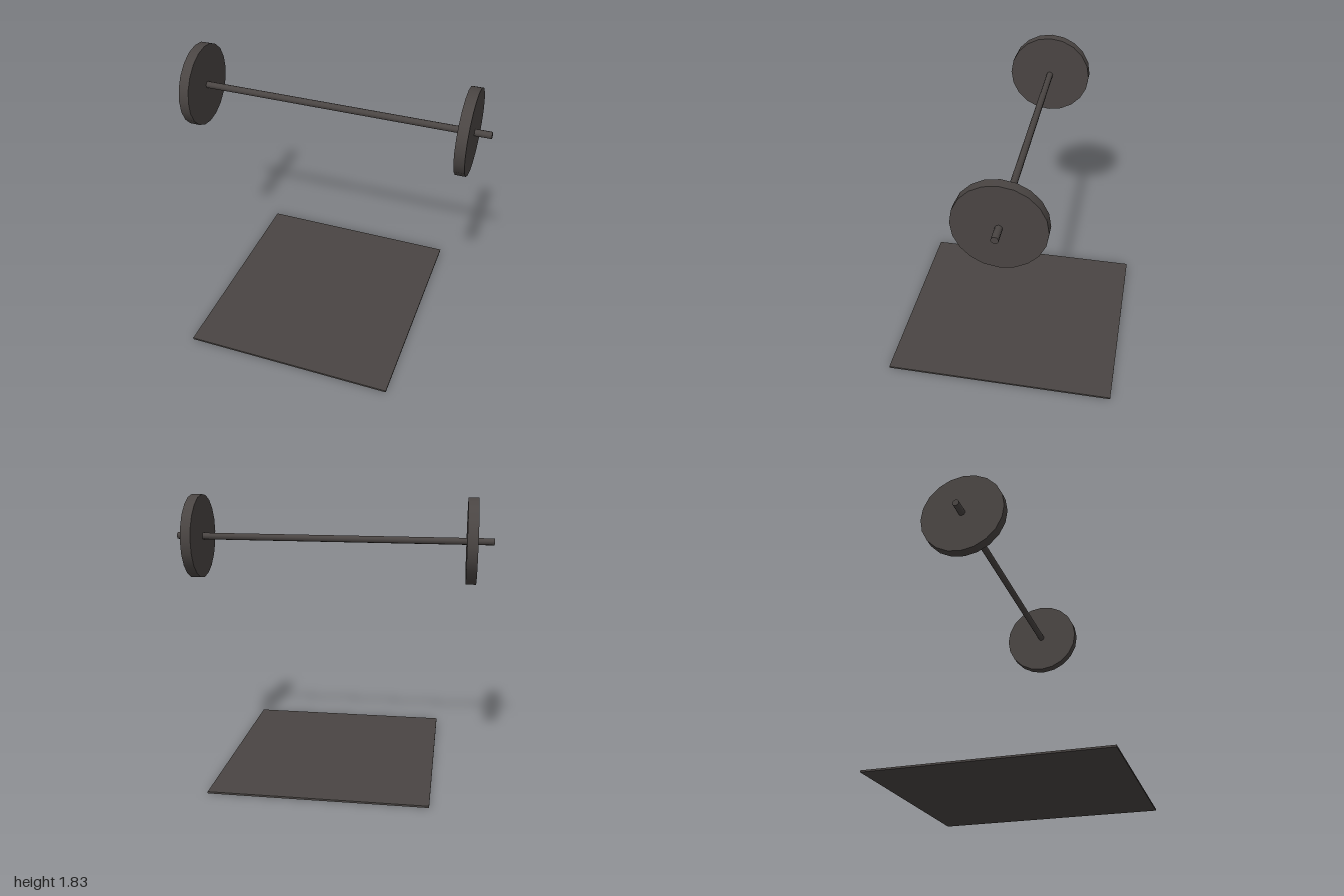
import * as THREE from 'three';

export function createModel() {
  const model = new THREE.Group();
  model.name = 'barbellOverMat';

  const darkGrey = new THREE.MeshStandardMaterial({ color: 0x4a4543 });
  darkGrey.name = 'dark warm grey';

  const turn = THREE.MathUtils.degToRad(20);

  // Thin floor mat
  const mat = new THREE.Mesh(new THREE.BoxGeometry(1.544, 0.012, 1.405), darkGrey);
  mat.name = 'floorMat';
  mat.position.set(0, 0.006, 0.025);
  mat.rotation.y = turn;
  model.add(mat);

  // Barbell, built along its own z axis
  const barbell = new THREE.Group();
  barbell.name = 'barbell';
  barbell.position.set(0.078, 1.55, 0);
  barbell.rotation.y = turn;
  model.add(barbell);

  const rod = (name, radius, length, sides, z) => {
    const geometry = new THREE.CylinderGeometry(radius, radius, length, sides);
    geometry.rotateX(Math.PI / 2);
    const mesh = new THREE.Mesh(geometry, darkGrey);
    mesh.name = name;
    mesh.position.z = z;
    barbell.add(mesh);
  };

  rod('bar', 0.0225, 2.113, 10, 0);

  // One weight plate near each end
  for (const side of [-1, 1]) {
    rod(side > 0 ? 'frontWeightPlate' : 'backWeightPlate', 0.28, 0.068, 20, side * 0.914);
  }

  return model;
}
